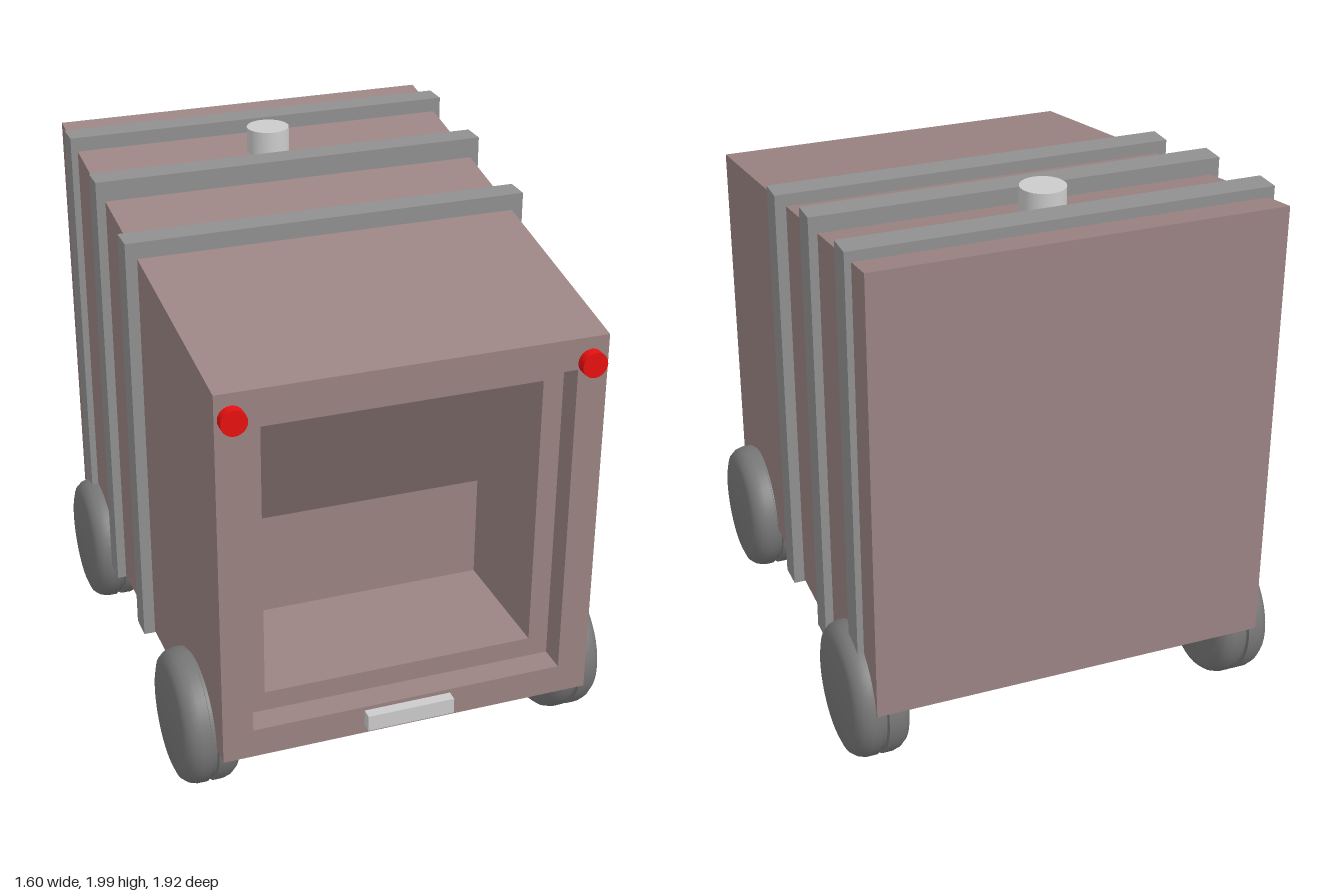
import * as THREE from 'three';
import { toCreasedNormals } from 'three/addons/utils/BufferGeometryUtils.js';

const mat = (color) => new THREE.MeshStandardMaterial({ color });

// Rectangular section, counter-clockwise seen from the front.
const ring = (hx, y0, y1, z) => [[-hx, y0, z], [hx, y0, z], [hx, y1, z], [-hx, y1, z]];

// Skin four-cornered sections in order and cap both ends, with flat faces.
function loft(rings) {
  const pos = [];
  const quad = (a, b, c, d) => pos.push(...a, ...b, ...c, ...a, ...c, ...d);
  for (let r = 0; r < rings.length - 1; r++) {
    for (let i = 0; i < 4; i++) {
      const j = (i + 1) % 4;
      quad(rings[r][i], rings[r][j], rings[r + 1][j], rings[r + 1][i]);
    }
  }
  quad(...[...rings[0]].reverse());
  quad(...rings[rings.length - 1]);
  const geo = new THREE.BufferGeometry();
  geo.setAttribute('position', new THREE.Float32BufferAttribute(pos, 3));
  geo.computeVertexNormals();
  return geo;
}

export function createModel() {
  const group = new THREE.Group();
  const bodyMat = mat(0x9b8383);
  const bandMat = mat(0x909090);
  const tyreMat = mat(0x777777);
  const lampMat = mat(0xe81010);
  const metalMat = mat(0xcccccc);

  const add = (name, geo, material, x = 0, y = 0, z = 0) => {
    const mesh = new THREE.Mesh(geo, material);
    mesh.name = name;
    mesh.position.set(x, y, z);
    group.add(mesh);
    return mesh;
  };

  // Tapered body: outer shell, stepped door frame, then the loading cavity
  // whose ceiling slopes down before the back wall.
  add('body', loft([
    ring(0.73, 0.30, 1.97, -0.96),
    ring(0.69, 0.25, 1.67, 0.92),
    ring(0.58, 0.36, 1.555, 0.92),
    ring(0.58, 0.36, 1.555, 0.82),
    ring(0.505, 0.435, 1.48, 0.82),
    ring(0.505, 0.435, 0.935, 0.49),
    ring(0.505, 0.435, 0.935, 0.32),
  ]), bodyMat);

  // Reinforcing bands around the body
  for (const [z, y0, y1] of [[0.03, 0.267, 1.865], [-0.38, 0.278, 1.945], [-0.77, 0.288, 1.985]]) {
    add('band', new THREE.BoxGeometry(1.5, y1 - y0, 0.1), bandMat, 0, (y0 + y1) / 2, z);
  }

  // Exhaust stack on the roof
  add('exhaustStack', new THREE.CylinderGeometry(0.08, 0.08, 0.2, 32), metalMat, -0.02, 1.9, -0.57);

  // Lamps and plate on the front face
  for (const x of [-0.633, 0.625]) {
    const lamp = add('lamp', toCreasedNormals(new THREE.CylinderGeometry(0.046, 0.046, 0.05, 24), 0.6),
      lampMat, x, 1.58, 0.932);
    lamp.rotation.x = Math.PI / 2;
  }
  add('plate', new THREE.BoxGeometry(0.325, 0.06, 0.06), metalMat, -0.007, 0.315, 0.93);

  // Wheels: rounded tyre with a centre groove, as radius and offset from the wheel middle
  const profile = [
    [0, -0.103], [0.195, -0.103], [0.222, -0.093], [0.239, -0.072], [0.247, -0.045],
    [0.247, -0.012], [0.235, -0.008], [0.235, 0.008], [0.247, 0.012],
    [0.247, 0.045], [0.239, 0.072], [0.222, 0.093], [0.195, 0.103], [0, 0.103],
  ].map(([r, h]) => new THREE.Vector2(r, h));
  const wheelGeo = toCreasedNormals(new THREE.LatheGeometry(profile, 40), 0.7);
  wheelGeo.rotateZ(-Math.PI / 2);
  for (const side of [-1, 1]) {
    add('frontWheel', wheelGeo, tyreMat, side * 0.697, 0.253, 0.61);
    add('rearWheel', wheelGeo, tyreMat, side * 0.697, 0.253, -0.71);
  }
  return group;
}
